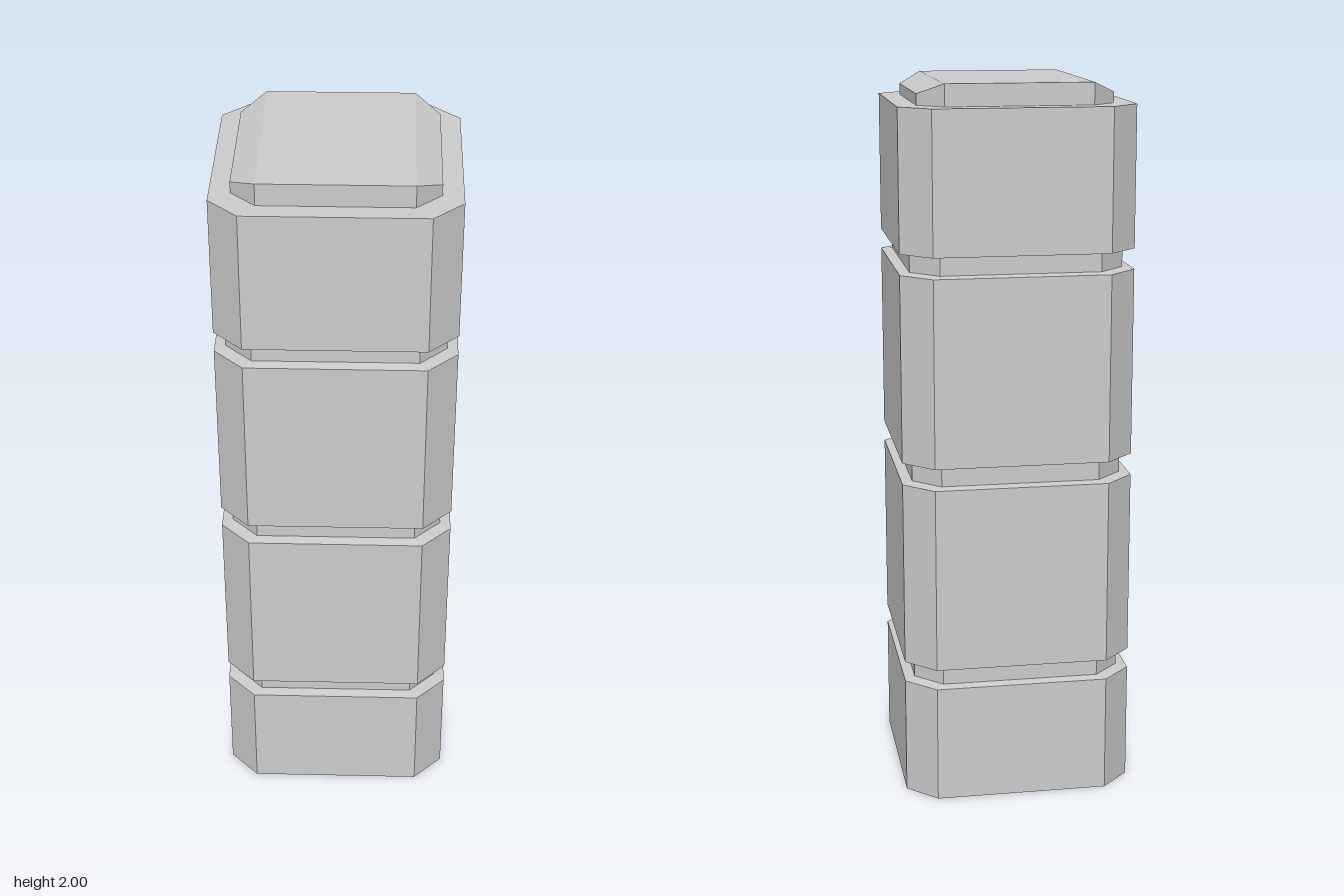
import * as THREE from 'three';

const material = new THREE.MeshStandardMaterial({ color: 0xcccccc, flatShading: true, side: THREE.DoubleSide });

// Chamfered square of half-width r at height y, counter-clockwise from above.
// sideY is the height of the four corners lying on the x sides.
function ring(r, y, sideY = y) {
  const c = r * 0.75;
  return [
    [r, sideY, c], [r, sideY, -c], [c, y, -r], [-c, y, -r],
    [-r, sideY, -c], [-r, sideY, c], [-c, y, r], [c, y, r],
  ];
}

// Flat-shaded walls between successive rings, plus optional faces given as corner lists.
function shell(name, rings, faces = []) {
  const positions = [];
  const addFace = (p) => {
    for (let i = 1; i < p.length - 1; i++) positions.push(...p[0], ...p[i], ...p[i + 1]);
  };
  for (let k = 0; k < rings.length - 1; k++) {
    const low = rings[k], high = rings[k + 1];
    for (let i = 0; i < 8; i++) {
      const j = (i + 1) % 8;
      addFace([low[i], low[j], high[j], high[i]]);
    }
  }
  faces.forEach(addFace);
  const geometry = new THREE.BufferGeometry();
  geometry.setAttribute('position', new THREE.Float32BufferAttribute(positions, 3));
  geometry.computeVertexNormals();
  const mesh = new THREE.Mesh(geometry, material);
  mesh.name = name;
  return mesh;
}

export function createModel() {
  const group = new THREE.Group();
  group.name = 'pillar';
  const body = 0.322, neck = 0.293, capR = 0.267, lip = 0.004;
  const bodyTop = 1.94;
  const grooves = [[0.332, 0.389], [0.911, 0.972], [1.494, 1.551]];

  // Stacked blocks with narrow ledges, hollow and open at the foot
  let bottom = 0;
  grooves.forEach(([low, high], i) => {
    const start = i === 0 ? [] : [ring(neck, bottom - lip)];
    group.add(shell('block' + (i + 1), [...start, ring(body, bottom), ring(body, low), ring(neck, low + lip)]));
    group.add(shell('groove' + (i + 1), [ring(neck, low + lip), ring(neck, high - lip)]));
    bottom = high;
  });
  group.add(shell('topBlock', [
    ring(neck, bottom - lip), ring(body, bottom), ring(body, bodyTop), ring(capR, bodyTop),
  ]));

  // Cap: flat across the middle, sloping down towards both x sides
  const t = ring(capR, 2, 1.97);
  group.add(shell('cap', [ring(capR, bodyTop), t], [
    [t[7], t[2], t[3], t[6]],
    [t[7], t[0], t[1], t[2]],
    [t[3], t[4], t[5], t[6]],
  ]));
  return group;
}
